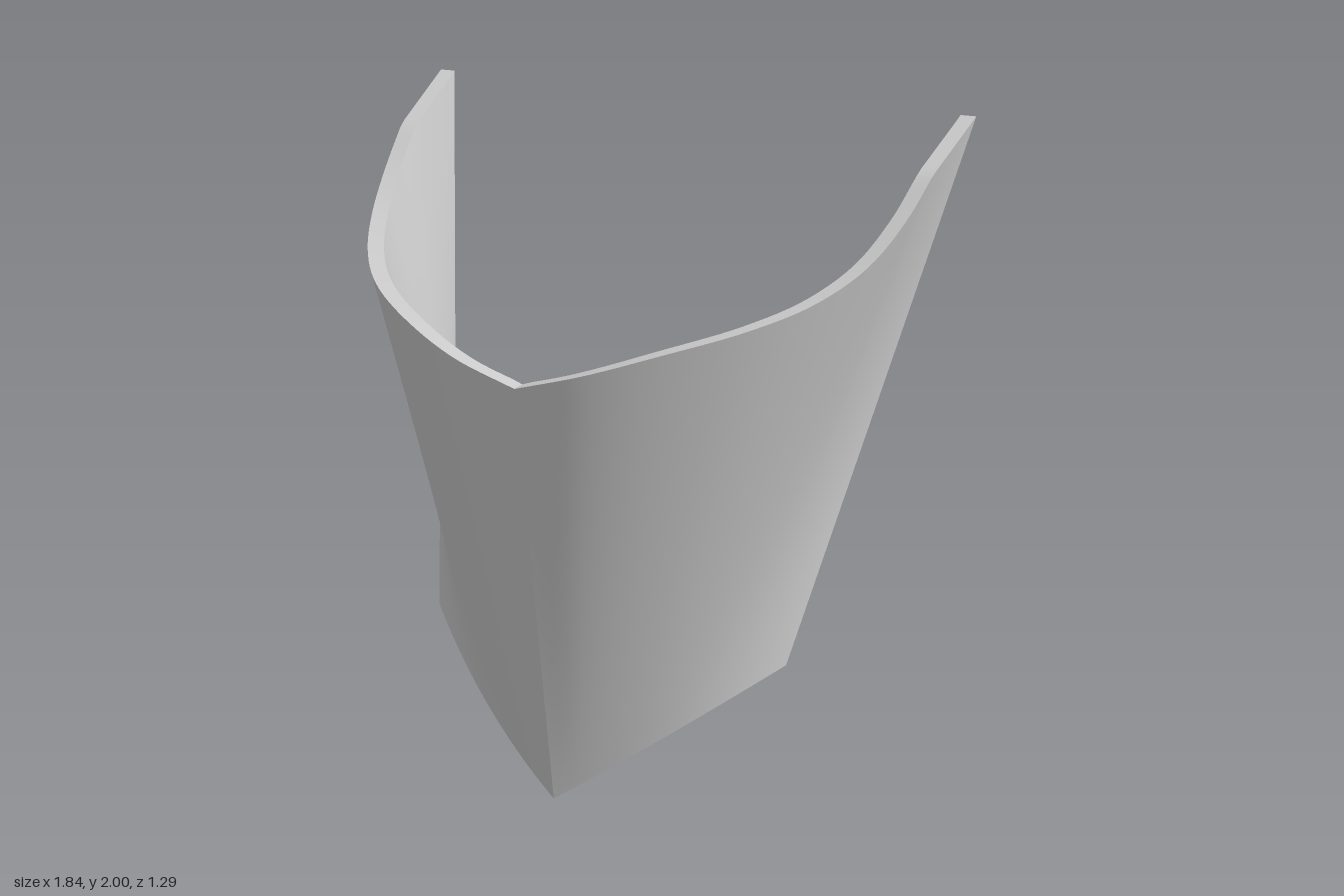
import * as THREE from 'three';

const V = (x, y, z) => new THREE.Vector3(x, y, z);
const THICKNESS = 0.05, ALONG = 48, UP = 16;

// Upper rim: a rounded sweep followed by a straight tip
const rim = new THREE.CurvePath();
rim.add(new THREE.CatmullRomCurve3([
  V(0, 1.375, 0.642), V(0.2, 1.43, 0.615), V(0.4, 1.49, 0.525), V(0.6, 1.545, 0.365),
  V(0.73, 1.595, 0.19), V(0.82, 1.67, 0), V(0.87, 1.775, -0.18), V(0.895, 1.88, -0.33),
]));
rim.add(new THREE.LineCurve3(V(0.895, 1.88, -0.33), V(0.92, 2, -0.645)));

// Lower edge: a shallow V in plan, rising to the sides
const lowerOuter = new THREE.QuadraticBezierCurve3(V(0, 0, 0.41), V(0.3, 0.2, 0.315), V(0.6, 0.4, 0.02));
const lowerInner = new THREE.QuadraticBezierCurve3(V(0, 0.01, 0.36), V(0.28, 0.2, 0.255), V(0.555, 0.4, -0.01));

const topOuter = (u) => rim.getPoint(u);
function topInner(u) {
  const p = rim.getPoint(u), t = rim.getTangent(u);
  const length = Math.hypot(t.x, t.z);
  p.x += (t.z / length) * THICKNESS;
  p.z -= (t.x / length) * THICKNESS;
  if (u === 0) p.x = 0;
  if (u === 1) p.z = -0.645;
  return p;
}

// Ruled surface between two edges; side = -1 mirrors it in x
function ruled(low, high, rows, side, flip) {
  const positions = [], index = [];
  for (let i = 0; i <= ALONG; i++) {
    const a = low(i / ALONG), b = high(i / ALONG);
    for (let j = 0; j <= rows; j++) {
      const p = a.clone().lerp(b, j / rows);
      positions.push(p.x * side, p.y, p.z);
    }
  }
  const reverse = flip !== (side < 0);
  for (let i = 0; i < ALONG; i++) {
    for (let j = 0; j < rows; j++) {
      const a = i * (rows + 1) + j, b = a + rows + 1;
      if (reverse) index.push(a, a + 1, b, b, a + 1, b + 1);
      else index.push(a, b, a + 1, b, b + 1, a + 1);
    }
  }
  const geometry = new THREE.BufferGeometry();
  geometry.setAttribute('position', new THREE.Float32BufferAttribute(positions, 3));
  geometry.setIndex(index);
  geometry.computeVertexNormals();
  return geometry;
}

export function createModel() {
  const group = new THREE.Group();
  group.name = 'curvedShield';
  const material = new THREE.MeshStandardMaterial({ color: 0xcccccc, side: THREE.DoubleSide });

  const bottomOuter = (u) => lowerOuter.getPoint(u);
  const bottomInner = (u) => lowerInner.getPoint(u);
  const endOuter = (u) => bottomOuter(1).lerp(topOuter(1), u);
  const endInner = (u) => bottomInner(1).lerp(topInner(1), u);

  for (const [label, side] of [['left', 1], ['right', -1]]) {
    const half = new THREE.Group();
    half.name = label + 'Half';
    const parts = [
      ['outerFace', bottomOuter, topOuter, UP, false],
      ['innerFace', bottomInner, topInner, UP, true],
      ['topRim', topOuter, topInner, 1, false],
      ['bottomRim', bottomOuter, bottomInner, 1, true],
      ['backEdge', endOuter, endInner, 1, false],
    ];
    for (const [name, low, high, rows, flip] of parts) {
      const mesh = new THREE.Mesh(ruled(low, high, rows, side, flip), material);
      mesh.name = name;
      half.add(mesh);
    }
    group.add(half);
  }
  return group;
}
